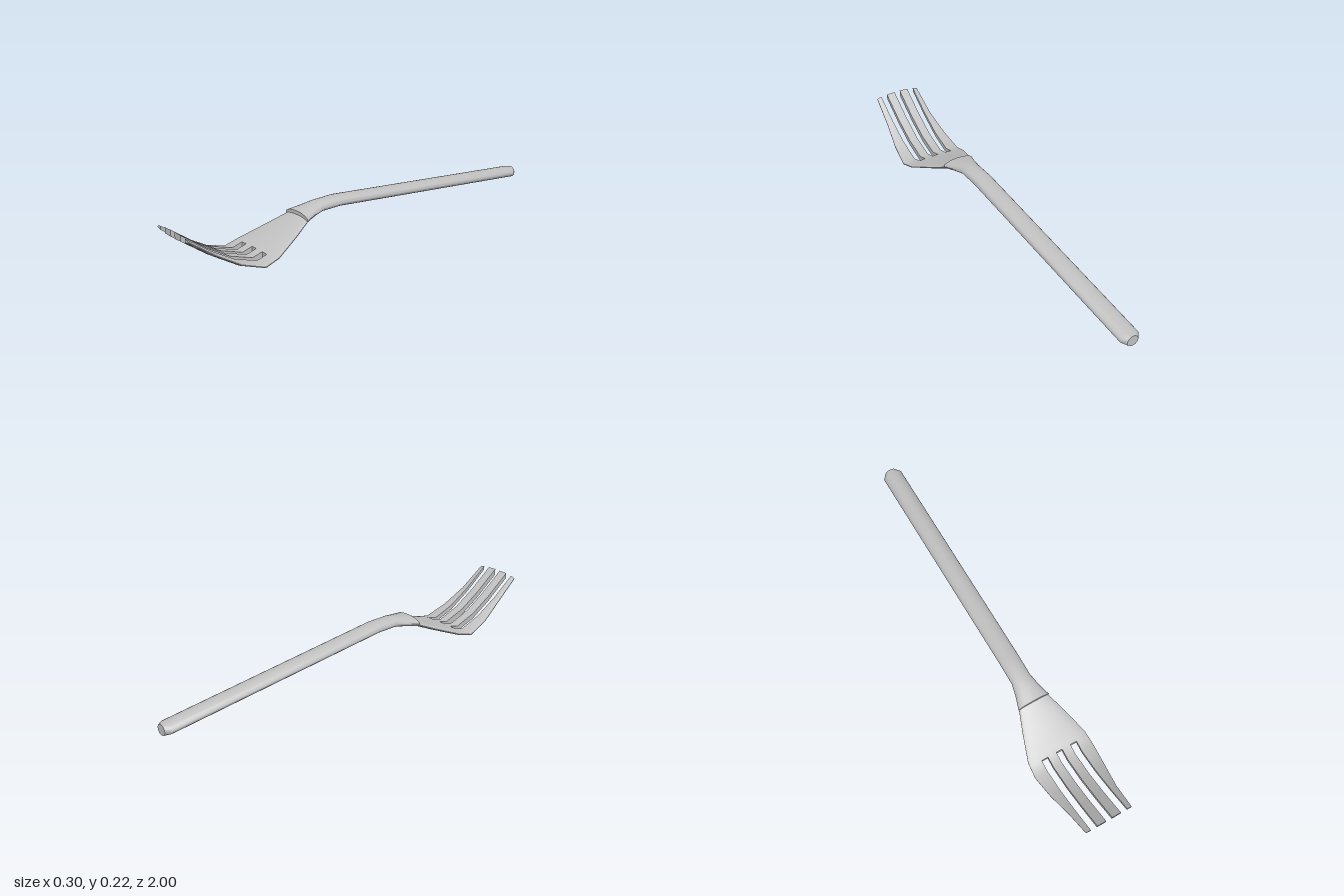
import * as THREE from 'three';
import { toCreasedNormals } from 'three/addons/utils/BufferGeometryUtils.js';

const steel = new THREE.MeshStandardMaterial({ color: 0xc0c0c0 });
steel.name = 'steel grey';

// Head stations: z, centre height, half width
const HEAD = [
  [0.38, 0.123, 0.075], [0.464, 0.087, 0.106], [0.587, 0.038, 0.147], [0.66, 0.018, 0.152],
  [0.77, 0.056, 0.14], [0.88, 0.122, 0.122], [1, 0.21, 0.113],
];
const SLOT_END = 0.61;

function station(z) {
  let i = 0;
  while (i < HEAD.length - 2 && z > HEAD[i + 1][0]) i++;
  const [a, b] = [HEAD[i], HEAD[i + 1]];
  const t = (z - a[0]) / (b[0] - a[0]);
  return { y: THREE.MathUtils.lerp(a[1], b[1], t), w: THREE.MathUtils.lerp(a[2], b[2], t) };
}

// Skin rings (anticlockwise seen from +z, ordered by rising z) and cap both ends
function loft(rings) {
  const pos = [];
  const tri = (...pts) => pts.forEach((p) => pos.push(...p));
  const n = rings[0].length;
  for (let r = 0; r < rings.length - 1; r++) {
    const a = rings[r], b = rings[r + 1];
    for (let i = 0; i < n; i++) {
      const j = (i + 1) % n;
      tri(a[i], a[j], b[j]);
      tri(a[i], b[j], b[i]);
    }
  }
  const cap = (ring, front) => {
    const c = [0, 1, 2].map((k) => ring.reduce((s, p) => s + p[k], 0) / n);
    for (let i = 0; i < n; i++) {
      const p = ring[i], q = ring[(i + 1) % n];
      if (front) tri(c, p, q); else tri(c, q, p);
    }
  };
  cap(rings[0], false);
  cap(rings[rings.length - 1], true);
  const g = new THREE.BufferGeometry();
  g.setAttribute('position', new THREE.Float32BufferAttribute(pos, 3));
  return toCreasedNormals(g, 0.7);
}

// Lens-shaped slice of the head between two x positions
function headRing(z, x0, x1, steps) {
  const { y, w } = station(z);
  const bottom = [], top = [];
  for (let i = 0; i <= steps; i++) {
    const x = THREE.MathUtils.lerp(x0, x1, (1 - Math.cos((Math.PI * i) / steps)) / 2);
    const h = Math.max(0.002, 0.015 * Math.sqrt(Math.max(0, 1 - (x / w) ** 2)));
    bottom.push([x, y - h, z]);
    top.unshift([x, y + h, z]);
  }
  return [...bottom, ...top];
}

// Elliptical slice of the handle
function handleRing([z, y, w, h]) {
  return Array.from({ length: 20 }, (_, i) => {
    const a = (i / 20) * Math.PI * 2;
    return [w * Math.cos(a), y + h * Math.sin(a), z];
  });
}

export function createModel() {
  const group = new THREE.Group();
  group.name = 'fork';
  const add = (name, rings) => {
    const mesh = new THREE.Mesh(loft(rings), steel);
    mesh.name = name;
    group.add(mesh);
  };

  // Handle with narrowed end and flared neck
  add('handle', [
    [-1, 0.03, 0.027, 0.025], [-0.975, 0.033, 0.047, 0.025], [0.158, 0.152, 0.047, 0.025],
    [0.265, 0.152, 0.047, 0.025], [0.32, 0.142, 0.059, 0.025], [0.38, 0.13, 0.078, 0.025],
  ].map(handleRing));

  // Solid part of the head, up to the slots
  const bodyZ = [...HEAD.map((s) => s[0]).filter((z) => z < SLOT_END), SLOT_END];
  add('headPlate', bodyZ.map((z) => {
    const { w } = station(z);
    return headRing(z, -w, w, 16);
  }));

  // Four tines, mirrored left and right
  const tineZ = [SLOT_END, ...HEAD.map((s) => s[0]).filter((z) => z > SLOT_END)];
  for (const side of [1, -1]) {
    const tine = (name, inner, outer) => add((side > 0 ? 'left' : 'right') + name, tineZ.map((z) => {
      const xs = [side * inner, side * outer(z)].sort((a, b) => a - b);
      return headRing(z, xs[0], xs[1], 6);
    }));
    tine('InnerTine', 0.015, () => 0.058);
    tine('OuterTine', 0.09, (z) => station(z).w);
  }
  return group;
}
